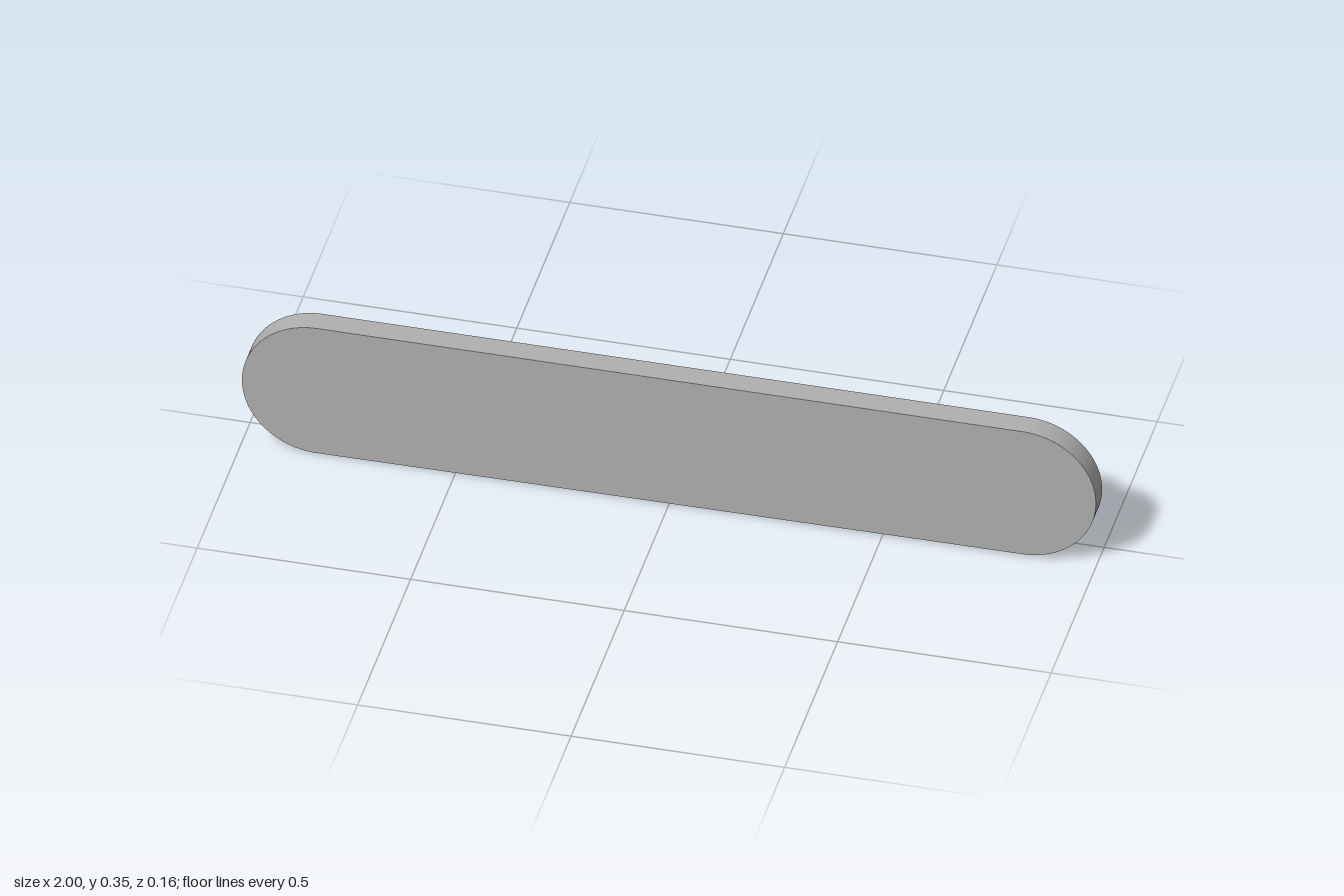
import * as THREE from 'three';
import { toCreasedNormals } from 'three/addons/utils/BufferGeometryUtils.js';

export function createModel() {
  const group = new THREE.Group();
  const grey = new THREE.MeshStandardMaterial({ color: 0xb0b0b0 });
  grey.name = 'plain grey';

  // Flat bar with rounded ends; the underside rises slightly toward +x
  const outline = new THREE.Shape();
  outline.absarc(0.828, 0.178, 0.172, -Math.PI / 2, Math.PI / 2, false);
  outline.absarc(-0.825, 0.175, 0.175, Math.PI / 2, Math.PI * 1.5, false);
  outline.closePath();
  const barGeometry = new THREE.ExtrudeGeometry(outline, {
    depth: 0.058, bevelEnabled: false, curveSegments: 40,
  });
  const bar = new THREE.Mesh(toCreasedNormals(barGeometry, 0.5), grey);
  bar.name = 'bar';
  bar.position.z = 0.02;
  group.add(bar);

  // Round pegs on the back, one near each end
  const pegs = [['leftPeg', 0.828, 0.076], ['rightPeg', -0.834, 0.07]];
  for (const [name, x, radius] of pegs) {
    const peg = new THREE.Mesh(new THREE.CylinderGeometry(radius, radius, 0.098, 48), grey);
    peg.name = name;
    peg.rotation.x = Math.PI / 2;
    peg.position.set(x, 0.175, -0.029);
    group.add(peg);
  }
  return group;
}
